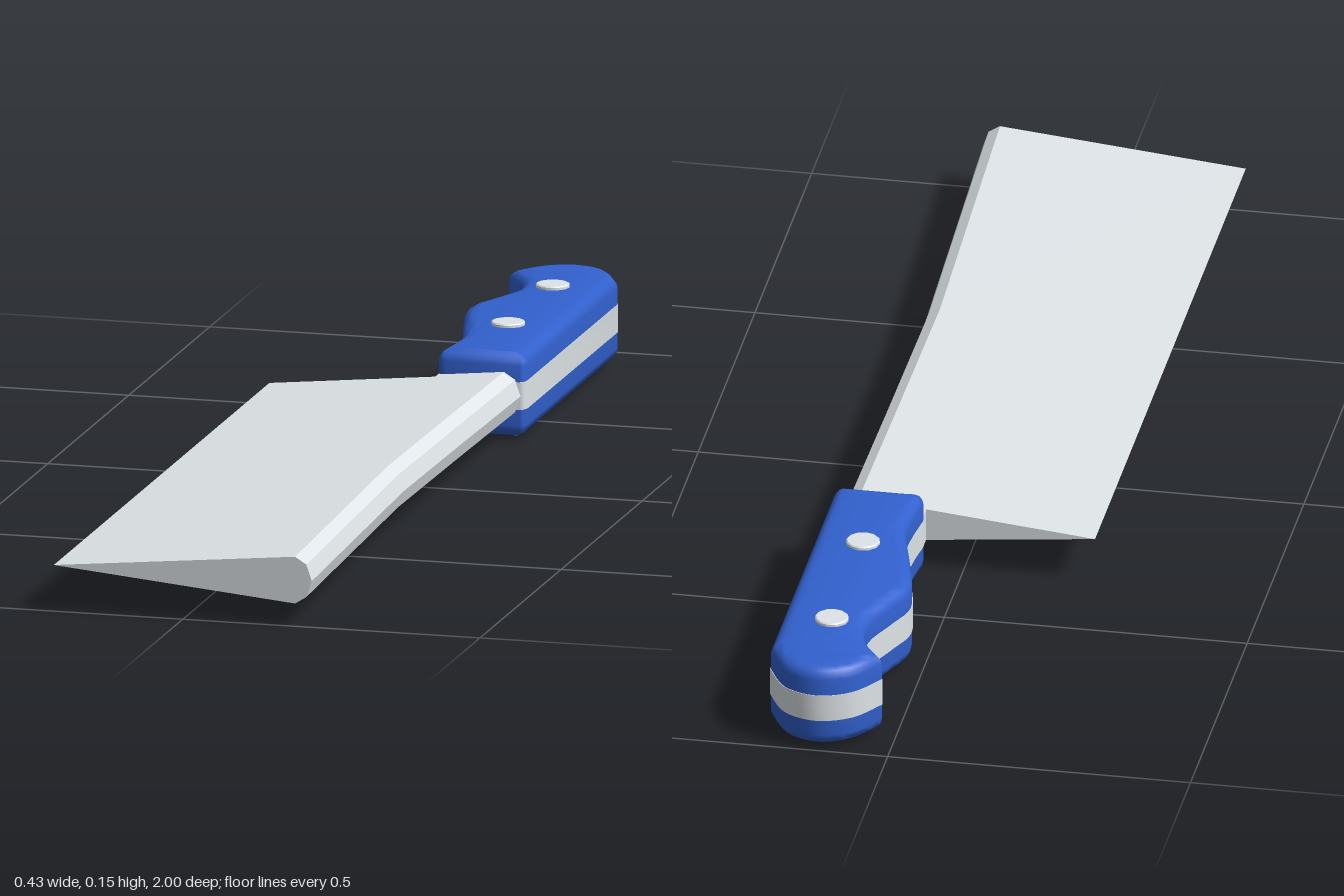
import * as THREE from 'three';
import { toCreasedNormals } from 'three/addons/utils/BufferGeometryUtils.js';

const MID_Y = 0.077;   // centre plane of the blade and handle
const EDGE_X = -0.217; // cutting edge
const HALF = 0.039;    // half thickness at the spine

// Blade section, counter-clockwise seen from the front; `left` is where it is cut off
function bladeSection(left, corner) {
  const h = HALF * (left - EDGE_X) / (corner - EDGE_X);
  const start = h > 0.001 ? [[left, h], [left, -h]] : [[left, 0]];
  return [...start, [corner, -HALF], [corner + 0.019, -0.027], [corner + 0.028, 0],
    [corner + 0.019, 0.027], [corner, HALF]];
}

// Flat-shaded loft through stations [z, spine corner x], with closed ends
function loftBlade(left, stations) {
  const pos = [], index = [];
  let n = 0;
  for (const [z, corner] of stations) {
    const section = bladeSection(left, corner);
    n = section.length;
    for (const [x, y] of section) pos.push(x, MID_Y + y, z);
  }
  for (let i = 0; i < stations.length - 1; i++) {
    for (let j = 0; j < n; j++) {
      const a = i * n + j, b = i * n + (j + 1) % n;
      index.push(a, b, b + n, a, b + n, a + n);
    }
  }
  const last = (stations.length - 1) * n;
  for (let j = 1; j < n - 1; j++) {
    index.push(0, j + 1, j);
    index.push(last, last + j, last + j + 1);
  }
  const geo = new THREE.BufferGeometry();
  geo.setAttribute('position', new THREE.Float32BufferAttribute(pos, 3));
  geo.setIndex(index);
  const flat = geo.toNonIndexed();
  flat.computeVertexNormals();
  return flat;
}

// Handle outline seen from above (shape y is world z)
function handleOutline() {
  const v = (x, z) => new THREE.Vector2(x, z);
  const s = new THREE.Shape();
  s.moveTo(0.075, -0.345);
  s.quadraticCurveTo(0.058, -0.345, 0.06, -0.365);
  s.splineThru([v(0.066, -0.42), v(0.066, -0.475), v(0.04, -0.58), v(0.023, -0.667),
    v(0.043, -0.73), v(0.068, -0.8), v(0.06, -0.865), v(0.023, -0.923)]);
  s.splineThru([v(0.063, -0.978), v(0.12, -1), v(0.175, -0.978), v(0.209, -0.92)]);
  s.lineTo(0.209, -0.365);
  s.quadraticCurveTo(0.209, -0.345, 0.192, -0.345);
  s.closePath();
  return s;
}

// Extrude the outline vertically, centred on MID_Y
function extrudeFlat(shape, height, bevel) {
  const geo = new THREE.ExtrudeGeometry(shape, { curveSegments: 4, ...bevel, depth: height });
  geo.rotateX(Math.PI / 2);
  geo.translate(0, MID_Y + height / 2, 0);
  return toCreasedNormals(geo, 0.9);
}

export function createModel() {
  const steel = new THREE.MeshStandardMaterial({ color: 0xdfe5e8 });
  steel.name = 'steel';
  const blue = new THREE.MeshStandardMaterial({ color: 0x3261cf });
  blue.name = 'blue handle';

  const model = new THREE.Group();
  model.name = 'cleaver';
  const add = (name, geo, mat) => {
    const mesh = new THREE.Mesh(geo, mat);
    mesh.name = name;
    model.add(mesh);
    return mesh;
  };

  // Wedge blade with a slightly bowed spine, and the neck joining it to the handle
  add('blade', loftBlade(EDGE_X, [[-0.33, 0.173], [0, 0.169], [0.35, 0.166], [1, 0.189]]), steel);
  add('neck', loftBlade(0.062, [[-0.365, 0.173], [-0.33, 0.173]]), steel);

  // Rounded grip with the steel tang showing as a band all the way round
  const outline = handleOutline();
  add('grip', extrudeFlat(outline, 0.1, {
    bevelEnabled: true, bevelThickness: 0.02, bevelSize: 0.022, bevelOffset: -0.023, bevelSegments: 4,
  }), blue);
  add('tang', extrudeFlat(outline, 0.046, { bevelEnabled: false }), steel);

  // Rivets through the grip, with softened rims
  const profile = [[0, 0], [0.026, 0], [0.028, 0.002], [0.028, 0.151], [0.026, 0.153], [0, 0.153]]
    .map(([r, y]) => new THREE.Vector2(r, y));
  const rivetGeo = toCreasedNormals(new THREE.LatheGeometry(profile, 12), 0.6);
  for (const z of [-0.545, -0.82]) add('rivet', rivetGeo, steel).position.set(0.126, 0, z);

  return model;
}
